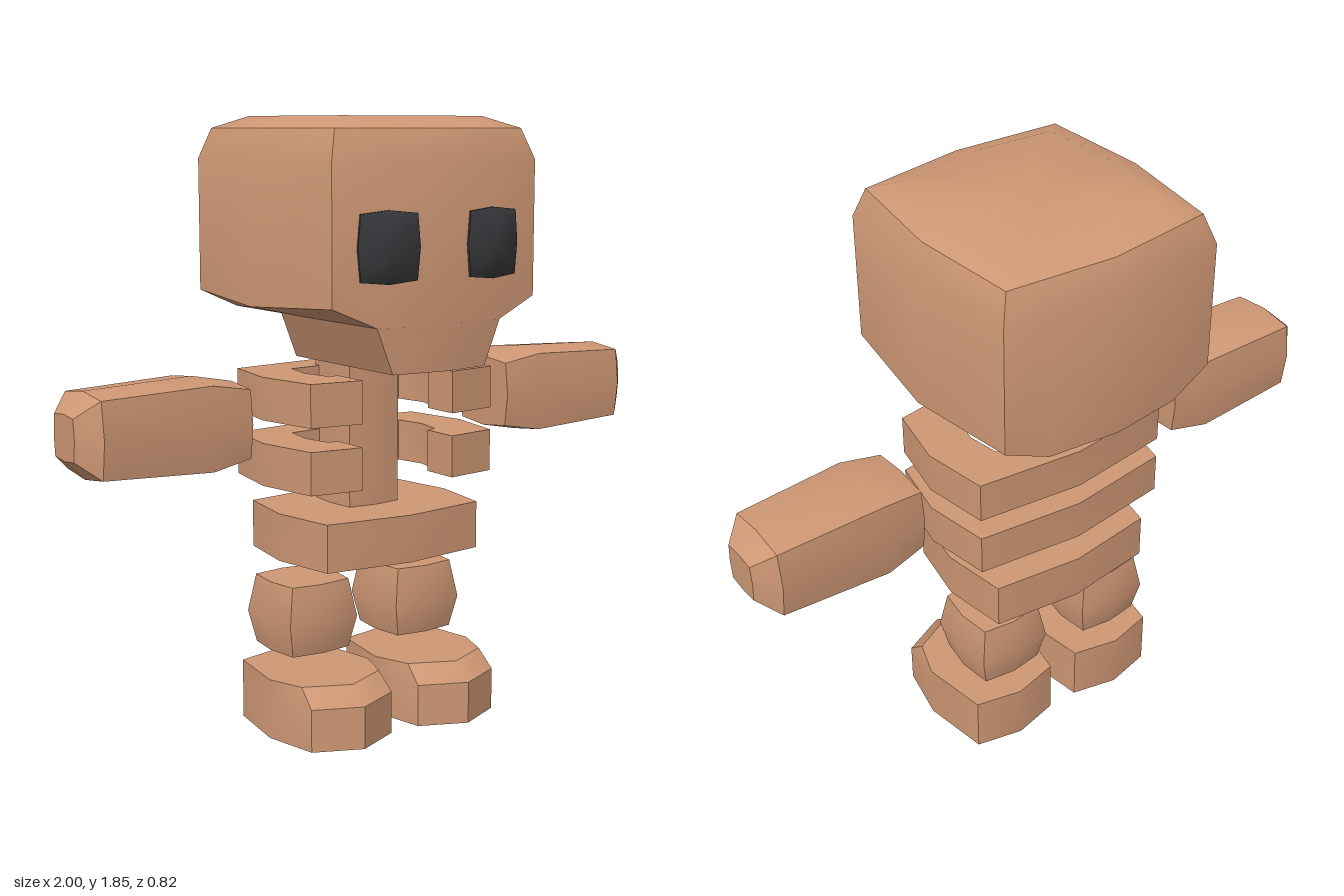
import * as THREE from 'three';
import { toCreasedNormals } from 'three/addons/utils/BufferGeometryUtils.js';

const clay = new THREE.MeshStandardMaterial({ color: 0xcf9875 });
clay.name = 'clay brown';
const dark = new THREE.MeshStandardMaterial({ color: 0x37383b });
dark.name = 'eye charcoal';

const CREASE = 0.6;

// Bulged square at height y: side middles at hx, zf, zb; corners pulled in by bx, bz
function ring(y, hx, zf, zb, bz = 0.035, bx = bz) {
  const zm = (zf + zb) / 2, cx = hx - bx;
  return [
    [0, y, zf], [cx, y, zf - bz], [hx, y, zm], [cx, y, zb + bz],
    [0, y, zb], [-cx, y, zb + bz], [-hx, y, zm], [-cx, y, zf - bz],
  ];
}

// Skin a stack of rings (bottom to top) and close both ends
function loft(rings) {
  const pos = [], n = rings[0].length;
  const tri = (...pts) => pts.forEach((p) => pos.push(...p));
  const centre = (r) => [0, 1, 2].map((k) => r.reduce((s, p) => s + p[k], 0) / n);
  const first = rings[0], last = rings[rings.length - 1];
  const low = centre(first), high = centre(last);
  for (let i = 0; i < n; i++) {
    const j = (i + 1) % n;
    for (let k = 0; k < rings.length - 1; k++) {
      const a = rings[k], b = rings[k + 1];
      tri(a[i], a[j], b[j]);
      tri(a[i], b[j], b[i]);
    }
    tri(low, first[j], first[i]);
    tri(high, last[i], last[j]);
  }
  const g = new THREE.BufferGeometry();
  g.setAttribute('position', new THREE.Float32BufferAttribute(pos, 3));
  return toCreasedNormals(g, CREASE);
}

export function createModel() {
  const model = new THREE.Group();
  model.name = 'figure';
  const add = (name, geometry, material = clay, x = 0, y = 0, z = 0) => {
    const mesh = new THREE.Mesh(geometry, material);
    mesh.name = name;
    mesh.position.set(x, y, z);
    model.add(mesh);
    return mesh;
  };

  // Skull: extra points at the jaw width let the cheeks slope up to the sides
  const jawX = 0.22;
  const skullRing = (...args) => {
    const r = ring(...args), out = [];
    r.forEach((p, i) => {
      const q = r[(i + 1) % 8];
      out.push(p);
      if (i % 4 === 0 || i % 4 === 3) {
        const side = i < 4 ? jawX : -jawX;
        const t = (side - p[0]) / (q[0] - p[0]);
        out.push([side, p[1], p[2] + (q[2] - p[2]) * t]);
      }
    });
    return out;
  };
  const full = skullRing(1.72, 0.4, 0.395, -0.41, 0.04);
  const cheekY = (x) => {
    const a = Math.abs(x);
    return a <= jawX + 0.001 ? 1.26 : a > 0.39 ? 1.3 : 1.32;
  };
  add('skull', loft([
    full.map(([x, , z]) => [THREE.MathUtils.clamp(x, -jawX, jawX), 1.26, z]),
    full.map(([x, , z]) => [x, cheekY(x), z]),
    full,
    skullRing(1.81, 0.365, 0.36, -0.375, 0.035),
    skullRing(1.845, 0.28, 0.27, -0.285, 0.03),
  ]));
  add('jaw', loft([
    ring(1.125, 0.165, 0.39, -0.15, 0.02, 0),
    ring(1.26, jawX, 0.395, -0.15, 0.024, 0),
  ]));

  // Spine and pelvis
  add('spine', loft([
    ring(0.66, 0.1, 0.057, -0.148, 0.01),
    ring(1.14, 0.1, 0.057, -0.148, 0.01),
  ]));
  add('pelvis', loft([
    ring(0.53, 0.312, 0.238, -0.245, 0.035),
    ring(0.675, 0.312, 0.238, -0.245, 0.035),
  ]));

  // Ribs: C shapes open at the front
  const half = [
    [0.165, 0.222], [0.33, 0.2], [0.367, 0], [0.33, -0.205], [0, -0.245],
  ];
  const inner = [[0, -0.125], [0.2, -0.1], [0.22, 0], [0.2, 0.09], [0.165, 0.1]];
  const mirror = (pts) => pts.map(([x, z]) => [-x, z]).reverse();
  const outline = [...half, ...mirror(half).slice(1), ...mirror(inner), ...inner.slice(1)];
  const ribShape = new THREE.Shape(outline.map(([x, z]) => new THREE.Vector2(x, -z)));
  const ribGeo = toCreasedNormals(
    new THREE.ExtrudeGeometry(ribShape, { depth: 0.128, bevelEnabled: false })
      .rotateX(-Math.PI / 2), CREASE);
  add('upperRib', ribGeo, clay, 0, 0.964, 0);
  add('lowerRib', ribGeo, clay, 0, 0.767, 0);

  // Shared limb shapes
  const armGeo = loft([
    ring(0.47, 0.112, 0.115, -0.125, 0.012),
    ring(0.6, 0.137, 0.13, -0.145, 0.014),
    ring(0.94, 0.124, 0.12, -0.132, 0.014),
    ring(1.0, 0.066, 0.06, -0.07, 0.006),
  ]);
  const thighGeo = loft([
    ring(0.242, 0.115, 0.07, -0.165, 0.014),
    ring(0.34, 0.137, 0.09, -0.185, 0.016),
    ring(0.457, 0.115, 0.07, -0.165, 0.014),
  ]);
  const footRing = (y, back, corner, front, cx) => [
    [0, y, front], [cx, y, corner], [0.18, y, 0.04], [0.145, y, -0.172],
    [0, y, back], [-0.145, y, -0.172], [-0.18, y, 0.04], [-cx, y, corner],
  ];
  const footGeo = loft([
    footRing(0, -0.205, 0.215, 0.28, 0.145),
    footRing(0.13, -0.205, 0.215, 0.28, 0.145),
    footRing(0.183, -0.205, 0.155, 0.22, 0.14),
  ]);
  // Domed eye, turned to face forward
  const eyeGeo = loft([
    ring(0, 0.1, 0.103, -0.103, 0.009),
    ring(0.024, 0.1, 0.103, -0.103, 0.009),
    ring(0.047, 0.055, 0.057, -0.057, 0.005),
  ]).rotateX(Math.PI / 2);

  for (const [name, s] of [['left', 1], ['right', -1]]) {
    add(name + 'Arm', armGeo, clay, 0, 0.978, 0).rotation.z = -s * Math.PI / 2;
    add(name + 'Thigh', thighGeo, clay, s * 0.195 - 0.008, 0, 0);
    add(name + 'Foot', footGeo, clay, s * 0.195 - 0.003, 0, 0);
    add(name + 'Eye', eyeGeo, dark, s * 0.182, 1.484, 0.357).rotation.y = s * 0.11;
  }
  return model;
}
